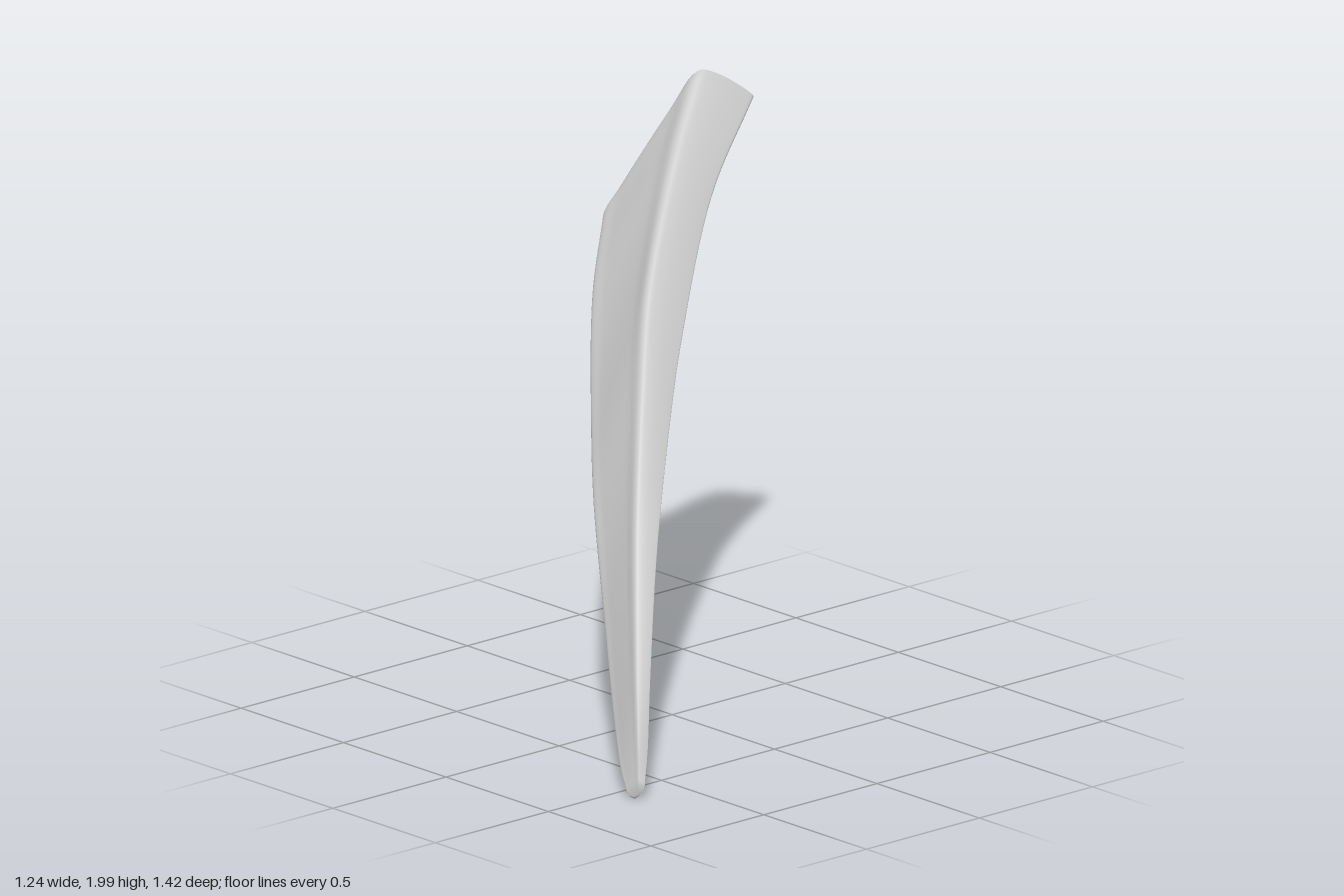
import * as THREE from 'three';

// Four rails running from the broad butt end down to the tip
const RAILS = {
  ridge: [[-0.47, 2.015, -0.55], [-0.34, 1.81, -0.33], [-0.105, 1.47, 0.005], [0.07, 1.21, 0.195],
    [0.305, 0.81, 0.435], [0.5, 0.41, 0.61], [0.58, 0.2, 0.675], [0.61, 0.07, 0.7]],
  backEdge: [[-0.385, 1.89, -0.715], [-0.24, 1.655, -0.4], [0.005, 1.3, -0.045], [0.15, 1.085, 0.14],
    [0.365, 0.73, 0.395], [0.535, 0.36, 0.58], [0.6, 0.16, 0.65], [0.622, 0.06, 0.683]],
  underEdge: [[-0.58, 1.455, -0.425], [-0.42, 1.29, -0.215], [-0.155, 0.99, 0.095], [0.025, 0.78, 0.26],
    [0.245, 0.5, 0.447], [0.425, 0.21, 0.597], [0.525, 0.07, 0.67], [0.575, 0.015, 0.695]],
  frontEdge: [[-0.615, 1.51, -0.235], [-0.455, 1.32, -0.045], [-0.175, 1, 0.21], [0.005, 0.795, 0.36],
    [0.23, 0.495, 0.515], [0.42, 0.21, 0.64], [0.515, 0.08, 0.695], [0.558, 0.03, 0.71]],
};
const ROUNDING = [0.3, 0.08, 0.25, 0.2]; // softness of each rail
const STEPS = 56, AROUND = 72;

// Rounded four-cornered cross-section at t along the rails
function section(curves, t) {
  const corners = curves.map((c) => c.getPoint(t));
  const pts = [];
  corners.forEach((p, i) => {
    const before = p.clone().lerp(corners[(i + 3) % 4], ROUNDING[i]);
    const after = p.clone().lerp(corners[(i + 1) % 4], ROUNDING[i]);
    const middle = p.clone().lerp(before.clone().lerp(after, 0.5), 0.25);
    pts.push(before, middle, after);
  });
  const loop = new THREE.CatmullRomCurve3(pts, true, 'centripetal');
  return Array.from({ length: AROUND }, (_, j) => loop.getPoint(j / AROUND));
}

// Rings closing one end as a shallow dome that bulges along a vector
function dome(ring, bulge, scales) {
  const centre = ring.reduce((s, p) => s.add(p), new THREE.Vector3()).divideScalar(ring.length);
  return scales.map((s) => ring.map((p) =>
    centre.clone().lerp(p, s).addScaledVector(bulge, Math.sqrt(1 - s * s))));
}

function loft(rings) {
  const positions = [], index = [];
  rings.forEach((ring, i) => ring.forEach((p, j) => {
    positions.push(p.x, p.y, p.z);
    if (i === rings.length - 1) return;
    const k = (j + 1) % AROUND;
    const a = i * AROUND + j, b = i * AROUND + k, d = a + AROUND, c = b + AROUND;
    index.push(a, d, b, b, d, c);
  }));
  const geometry = new THREE.BufferGeometry();
  geometry.setAttribute('position', new THREE.Float32BufferAttribute(positions, 3));
  geometry.setIndex(index);
  geometry.computeVertexNormals();
  return geometry;
}

export function createModel() {
  const group = new THREE.Group();
  const curves = Object.values(RAILS).map((rail) =>
    new THREE.CatmullRomCurve3(rail.map((p) => new THREE.Vector3(...p))));
  const body = Array.from({ length: STEPS + 1 }, (_, i) => section(curves, i / STEPS));

  // Domed butt end, curved body, rounded tip
  const rings = [
    ...dome(body[0], new THREE.Vector3(-0.043, 0.004, -0.022), [0, 0.4, 0.7, 0.88, 0.97]),
    ...body,
    ...dome(body[STEPS], new THREE.Vector3(0.008, -0.03, 0.003), [0.95, 0.75, 0.4, 0]),
  ];
  const horn = new THREE.Mesh(loft(rings), new THREE.MeshStandardMaterial({ color: 0xcccccc }));
  horn.name = 'curvedHorn';
  group.add(horn);
  return group;
}
